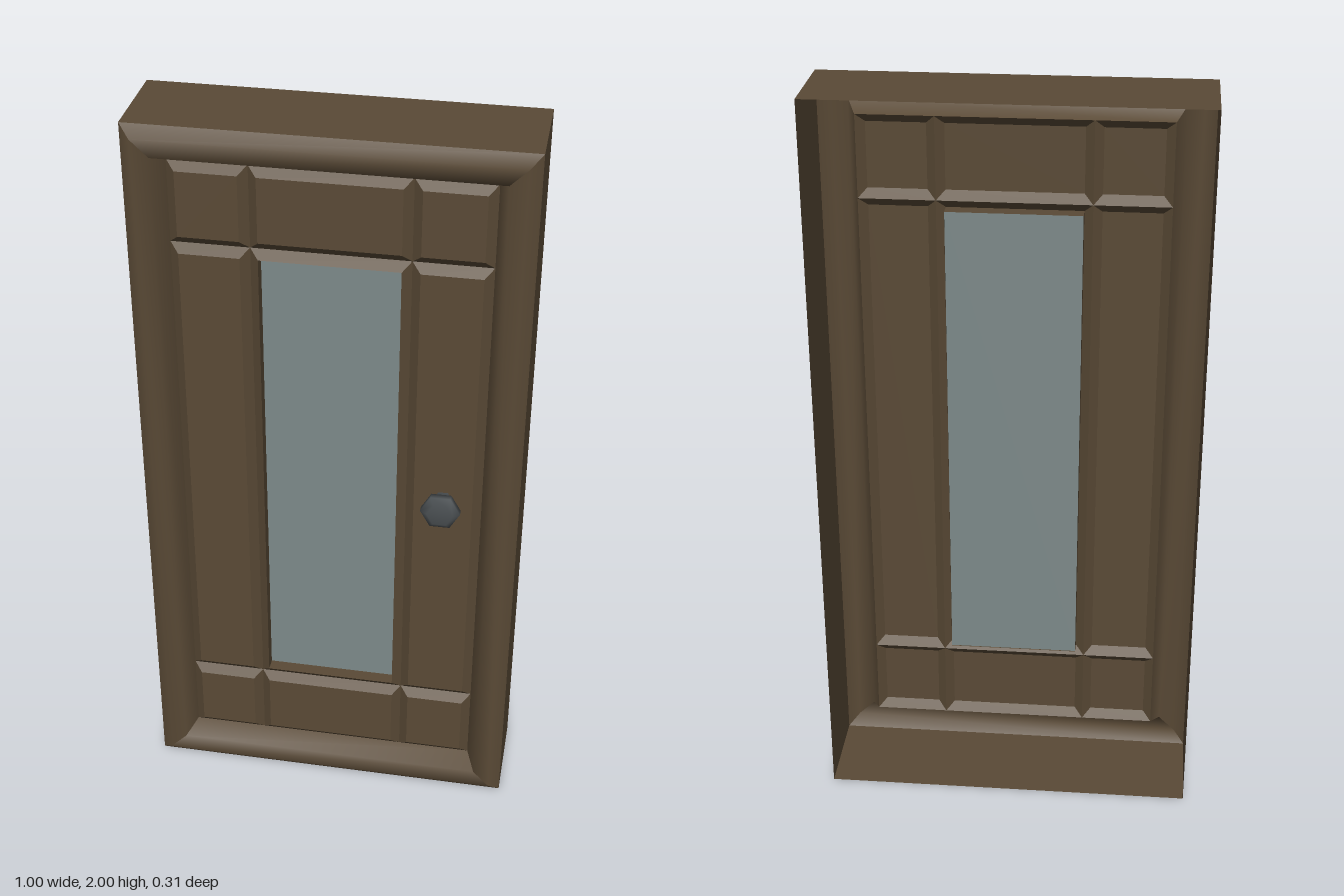
import * as THREE from 'three';

const wood = new THREE.MeshStandardMaterial({ color: 0x5a4a36, side: THREE.DoubleSide });
const glass = new THREE.MeshStandardMaterial({ color: 0x7d8a8a, side: THREE.DoubleSide });
const metal = new THREE.MeshStandardMaterial({ color: 0x4a4f52 });

const BACK = -0.157, GROOVE = 0.065, FACE = 0.085, BEVEL = 0.023;

// Mitred moulding round a rectangle; profile points are [inset, z], smooth along each side
function moulding(name, [x0, y0, x1, y1], profile) {
  const pos = [], index = [];
  for (let s = 0; s < 4; s++) {
    const base = pos.length / 3;
    for (const [d, z] of profile) {
      const c = [[x0 + d, y0 + d], [x1 - d, y0 + d], [x1 - d, y1 - d], [x0 + d, y1 - d]];
      pos.push(...c[s], z, ...c[(s + 1) % 4], z);
    }
    for (let i = 0; i < profile.length - 1; i++) {
      const a = base + i * 2;
      index.push(a, a + 1, a + 3, a, a + 3, a + 2);
    }
  }
  const geo = new THREE.BufferGeometry();
  geo.setAttribute('position', new THREE.Float32BufferAttribute(pos, 3));
  geo.setIndex(index);
  geo.computeVertexNormals();
  const mesh = new THREE.Mesh(geo, wood);
  mesh.name = name;
  return mesh;
}

// Flat rectangle facing +z
function sheet(name, [x0, y0, x1, y1], z, material) {
  const mesh = new THREE.Mesh(new THREE.PlaneGeometry(x1 - x0, y1 - y0), material);
  mesh.position.set((x0 + x1) / 2, (y0 + y1) / 2, z);
  mesh.name = name;
  return mesh;
}

export function createModel() {
  const model = new THREE.Group();
  model.name = 'door';

  // Outer casing, open at the back, with a rounded front moulding
  const outer = [-0.5, 0, 0.5, 2];
  model.add(moulding('casingWalls', outer, [[0, BACK], [0, 0.1]]));
  model.add(moulding('frameMoulding', outer, [[0, 0.1], [0.03, 0.126], [0.075, 0.123], [0.1, GROOVE]]));

  // Three by three grid of bevelled panels with V grooves; the centre one holds the glass
  const xs = [-0.4, -0.2, 0.2, 0.4], ys = [0.1, 0.32, 1.68, 1.9];
  for (let i = 0; i < 3; i++) {
    for (let j = 0; j < 3; j++) {
      const cell = [xs[i], ys[j], xs[i + 1], ys[j + 1]];
      const inner = [cell[0] + BEVEL, cell[1] + BEVEL, cell[2] - BEVEL, cell[3] - BEVEL];
      const panel = new THREE.Group();
      const centre = i === 1 && j === 1;
      panel.name = centre ? 'window' : 'panel';
      panel.add(moulding('bevel', cell, [[0, GROOVE], [BEVEL, FACE]]));
      if (centre) {
        panel.add(moulding('windowReveal', inner, [[0, FACE], [0, 0.047]]));
        panel.add(sheet('glassPane', inner, 0.05, glass));
      } else {
        panel.add(sheet('panelFace', inner, FACE, wood));
      }
      model.add(panel);
    }
  }

  // Six-sided knob
  const profile = [[0.025, 0], [0.025, 0.03], [0.052, 0.042], [0.052, 0.06], [0.034, 0.072], [0, 0.072]];
  const knob = new THREE.Mesh(
    new THREE.LatheGeometry(profile.map(([r, h]) => new THREE.Vector2(r, h)), 6, Math.PI / 2), metal);
  knob.name = 'knob';
  knob.rotation.x = Math.PI / 2;
  knob.position.set(0.3, 1, FACE);
  model.add(knob);

  return model;
}
